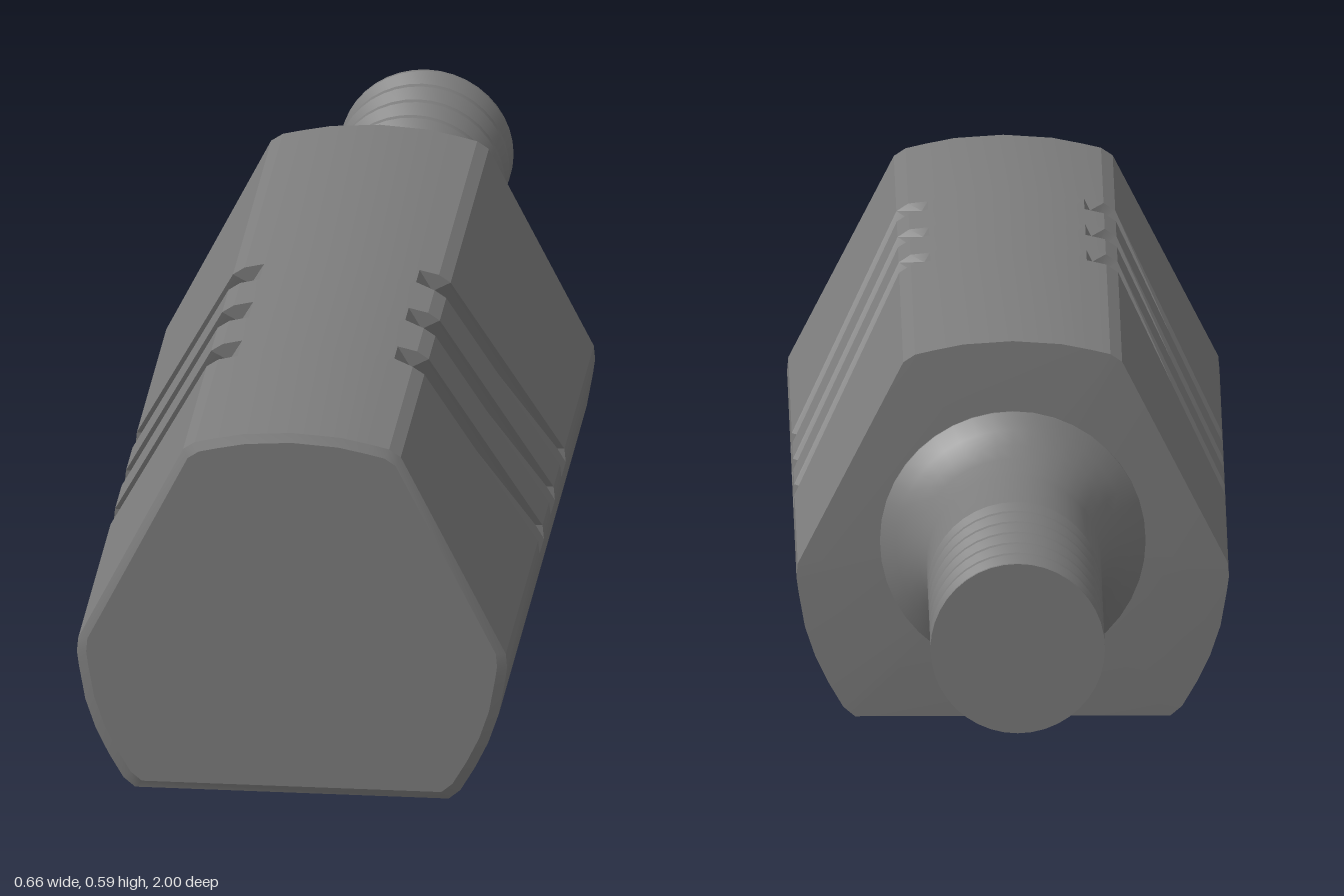
import * as THREE from 'three';
import { toCreasedNormals } from 'three/addons/utils/BufferGeometryUtils.js';

const AXIS_Y = 0.28;
const SHEAR = 0.13; // how far the grooves slant back down the sides

// Right half of the cross-section, top to bottom: [x, y, share of shear]
const FULL = [
  [0.075, 0.588, 0], [0.12, 0.579, 0], [0.15, 0.572, 0], [0.168, 0.56, 0],
  [0.33, 0.242, 1], [0.332, 0.22, 1], [0.329, 0.198, 1], [0.319, 0.142, 1],
  [0.303, 0.095, 1], [0.283, 0.054, 1], [0.26, 0.015, 1], [0.242, 0, 1],
];
// The same section where a groove is cut into the slanted side
const CUT = FULL.map((p) => [...p]);
CUT[2] = [0.129, 0.5638, 0];
CUT[3] = [0.14, 0.545, 0];
CUT[4] = [0.319, 0.242, 1];

// Whole ring at depth z, clockwise as seen from the front
function ring(half, z, shear = 0, scale = 1) {
  const left = half.map(([x, y, s]) => [-x, y, s]).reverse();
  return [[0, 0.593, 0], ...half, ...left].map(([x, y, s]) =>
    new THREE.Vector3(x * scale, AXIS_Y + (y - AXIS_Y) * scale, z - shear * s));
}

// Skin a list of rings ordered from front to back
function loft(rings) {
  const pos = [];
  const tri = (a, b, c) => {
    const area = b.clone().sub(a).cross(c.clone().sub(a)).length();
    if (area > 1e-8) for (const v of [a, b, c]) pos.push(v.x, v.y, v.z);
  };
  for (let j = 0; j < rings.length - 1; j++) {
    const n = rings[j].length;
    for (let i = 0; i < n; i++) {
      const k = (i + 1) % n;
      const a = rings[j][i], b = rings[j][k], c = rings[j + 1][k], d = rings[j + 1][i];
      tri(a, b, d);
      tri(b, c, d);
    }
  }
  const g = new THREE.BufferGeometry();
  g.setAttribute('position', new THREE.Float32BufferAttribute(pos, 3));
  return g;
}

export function createModel() {
  const group = new THREE.Group();
  const material = new THREE.MeshStandardMaterial({ color: 0x7d7d7d });
  const add = (name, geometry, crease) => {
    const mesh = new THREE.Mesh(toCreasedNormals(geometry, crease), material);
    mesh.name = name;
    group.add(mesh);
    return mesh;
  };

  // Grip body: bevelled front, three slanted grooves per side, shallow conical back
  const rings = [ring(FULL, 1, 0, 0), ring(FULL, 1, 0, 0.955), ring(FULL, 0.994)];
  for (const [front, back] of [[0.645, 0.58], [0.482, 0.417], [0.322, 0.257]]) {
    // front wall slopes, back wall is upright
    rings.push(ring(FULL, front, SHEAR), ring(CUT, front - 0.014, SHEAR));
    rings.push(ring(CUT, back, SHEAR), ring(FULL, back, SHEAR));
  }
  rings.push(ring(FULL, -0.308), ring(FULL, -0.33, 0, 0));
  add('gripBody', loft(rings), 0.3);

  // Shaft: flared collar, plain neck, ridged end; [radius, distance behind centre]
  const profile = [
    [0.204, 0.3], [0.204, 0.319], [0.18, 0.337], [0.161, 0.36],
    [0.147, 0.39], [0.138, 0.425], [0.134, 0.445], [0.134, 0.604],
  ];
  const ridges = 6, pitch = (1 - 0.604) / ridges;
  for (let i = 0; i < ridges; i++) {
    const z = 0.604 + i * pitch;
    profile.push([0.134, z + 0.006], [0.119, z + pitch * 0.5], [0.134, z + pitch - 0.006]);
  }
  profile.push([0.134, 1], [0, 1]);
  const shaft = new THREE.LatheGeometry(profile.map(([r, d]) => new THREE.Vector2(r, d)), 40);
  shaft.rotateX(-Math.PI / 2);
  add('ridgedShaft', shaft, 0.35).position.y = AXIS_Y;

  return group;
}
